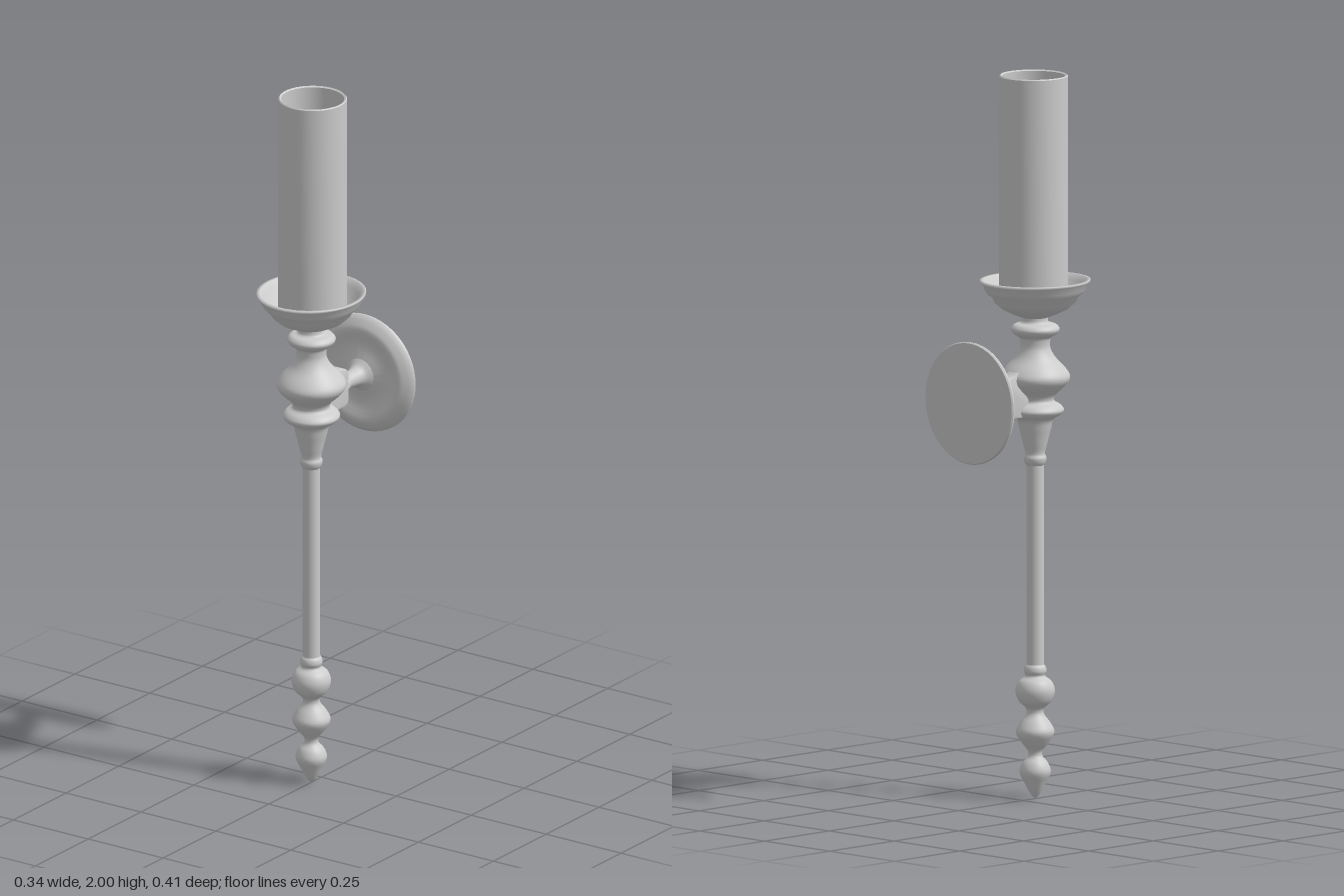
import * as THREE from 'three';
import { toCreasedNormals } from 'three/addons/utils/BufferGeometryUtils.js';

const AXIS_Z = 0.048; // the upright stem stands forward of the wall plate
const ARM_Y = 1.12;
const metal = new THREE.MeshStandardMaterial({ color: 0xcccccc, side: THREE.DoubleSide });

// Turned part: [radius, height] pairs, optionally rounded through a curve
function turned(name, profile, { smooth = 0, sides = 40, crease = 0 } = {}) {
  let pts = profile.map(([r, y]) => new THREE.Vector2(r, y));
  if (smooth) {
    const curve = new THREE.CatmullRomCurve3(profile.map(([r, y]) => new THREE.Vector3(r, y, 0)));
    pts = curve.getPoints(smooth * (profile.length - 1)).map(p => new THREE.Vector2(Math.max(p.x, 0), p.y));
  }
  let geo = new THREE.LatheGeometry(pts, sides);
  if (crease) geo = toCreasedNormals(geo, crease);
  const mesh = new THREE.Mesh(geo, metal);
  mesh.name = name;
  return mesh;
}

export function createModel() {
  const model = new THREE.Group();
  model.name = 'wallSconce';

  const upright = new THREE.Group();
  upright.name = 'upright';
  upright.position.z = AXIS_Z;
  model.add(upright);

  // Three-bead drop at the foot
  upright.add(turned('lowerFinial', [
    [0, 0], [0.012, 0.012], [0.03, 0.045], [0.043, 0.075], [0.035, 0.1], [0.02, 0.118], [0.02, 0.132],
    [0.037, 0.155], [0.053, 0.185], [0.042, 0.21], [0.024, 0.235], [0.025, 0.25],
    [0.045, 0.27], [0.054, 0.3], [0.045, 0.325], [0.027, 0.34], [0.031, 0.352], [0.029, 0.364], [0.023, 0.372],
  ], { smooth: 4 }));

  upright.add(turned('shaft', [[0.024, 0.36], [0.024, 0.94]]));

  // Tapered collar, sharp ring, large bulb and small ring below the dish
  upright.add(turned('turnedBody', [
    [0.023, 0.92], [0.029, 0.93], [0.031, 0.942], [0.027, 0.953], [0.033, 0.98], [0.043, 1.02], [0.052, 1.05],
    [0.072, 1.063], [0.079, 1.075], [0.07, 1.088], [0.052, 1.1], [0.055, 1.115], [0.076, 1.135],
    [0.093, 1.155], [0.095, 1.17], [0.083, 1.19], [0.055, 1.22], [0.042, 1.245], [0.041, 1.262],
    [0.044, 1.275], [0.06, 1.285], [0.067, 1.298], [0.058, 1.31], [0.037, 1.317], [0.035, 1.335], [0.04, 1.35],
  ], { smooth: 4 }));

  // Flared drip dish, slightly deeper than wide
  const dish = turned('dripDish', [
    [0.035, 1.33], [0.06, 1.34], [0.088, 1.354], [0.108, 1.372], [0.115, 1.388], [0.126, 1.395], [0.135, 1.408],
    [0.139, 1.422], [0.146, 1.427], [0.147, 1.434], [0.138, 1.434], [0.128, 1.418], [0.116, 1.402], [0.1, 1.382],
    [0.085, 1.372], [0, 1.37],
  ]);
  dish.scale.z = 1.06;
  upright.add(dish);

  // Hollow candle sleeve with a small pointed spike inside
  const candle = new THREE.Group();
  candle.name = 'candle';
  candle.position.z = -0.006;
  candle.add(turned('candleSleeve', [
    [0.094, 1.365], [0.094, 1.997], [0.091, 2], [0.086, 1.997], [0.086, 1.365],
  ], { crease: 0.7, sides: 48 }));
  candle.add(turned('candleSpike', [
    [0.035, 1.365], [0.035, 1.385], [0.024, 1.392], [0.023, 1.41], [0, 1.44],
  ], { crease: 0.5 }));
  upright.add(candle);

  // Bracket block joining the bulb to the arm (side outline swept across x)
  const outline = new THREE.Shape();
  outline.moveTo(-0.04, 1.065);
  outline.lineTo(0.085, 1.065);
  outline.quadraticCurveTo(0.097, 1.068, 0.097, 1.085);
  outline.lineTo(0.097, 1.15);
  outline.quadraticCurveTo(0.095, 1.168, 0.075, 1.168);
  outline.quadraticCurveTo(0.04, 1.172, 0.01, 1.205);
  outline.lineTo(-0.04, 1.205);
  outline.closePath();
  const blockGeo = new THREE.ExtrudeGeometry(outline, {
    depth: 0.034, bevelEnabled: true, bevelSize: 0.004, bevelThickness: 0.004, bevelSegments: 2,
  });
  blockGeo.translate(0, 0, -0.017);
  blockGeo.rotateY(Math.PI / 2);
  const block = new THREE.Mesh(toCreasedNormals(blockGeo, 0.6), metal);
  block.name = 'bracketBlock';
  model.add(block);

  // Wall mount, turned about z: local height becomes distance from the wall
  const mount = new THREE.Group();
  mount.name = 'wallMount';
  mount.position.set(0, ARM_Y, -0.21);
  mount.rotation.x = Math.PI / 2;
  mount.add(turned('wallPlate', [
    [0, 0], [0.166, 0], [0.169, 0.004], [0.168, 0.01], [0.155, 0.019], [0.143, 0.029], [0.132, 0.033],
    [0.12, 0.031], [0.105, 0.024], [0.085, 0.02], [0.06, 0.022], [0.045, 0.03], [0, 0.033],
  ], { sides: 56, crease: 0.8 }));
  mount.add(turned('arm', [
    [0.055, 0.022], [0.043, 0.032], [0.032, 0.042], [0.026, 0.055], [0.023, 0.075], [0.021, 0.095],
    [0.024, 0.108], [0.028, 0.12],
  ], { smooth: 3 }));
  model.add(mount);

  return model;
}
